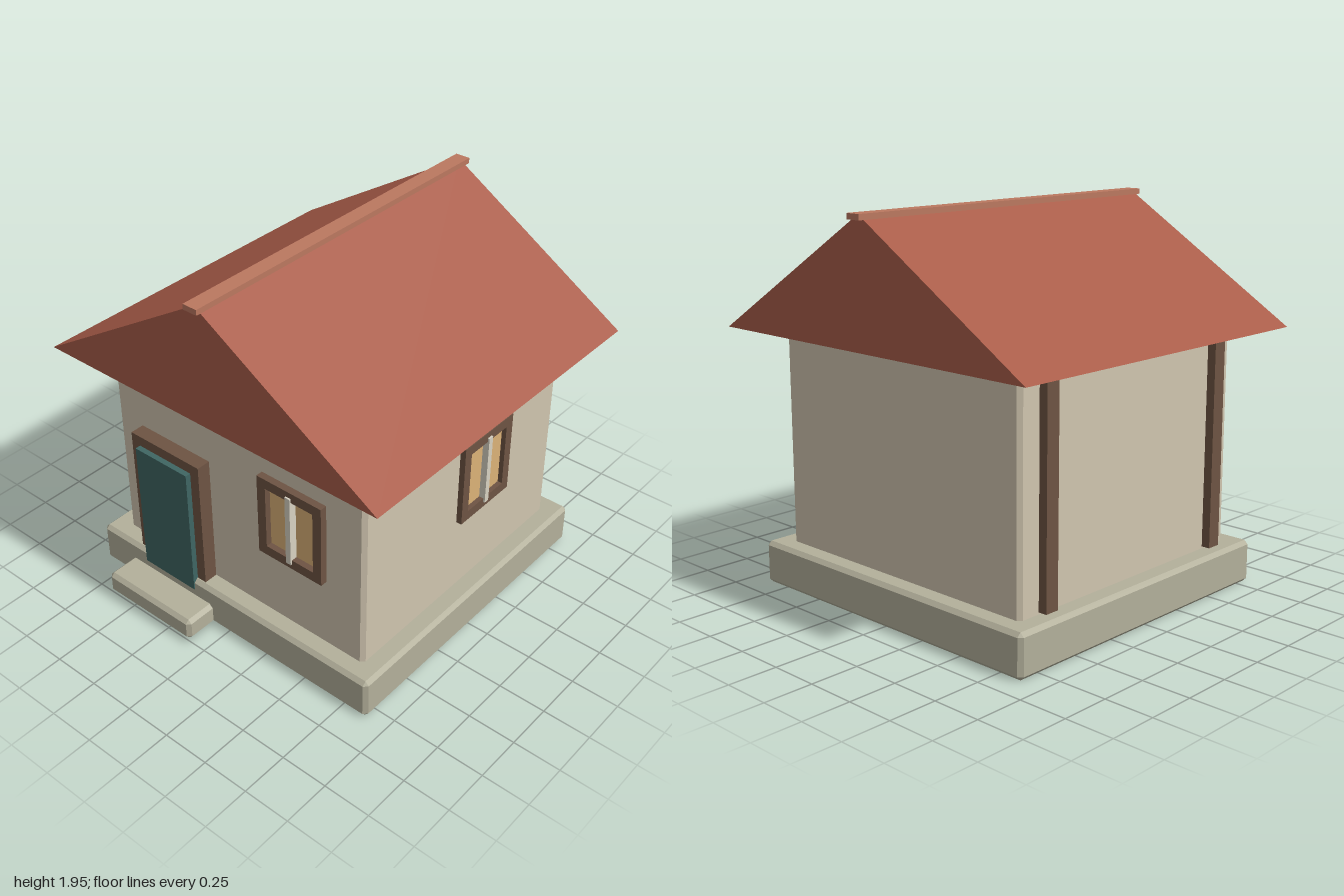
import * as THREE from 'three';
import { ConvexGeometry } from 'three/addons/geometries/ConvexGeometry.js';

const mat = (color) => new THREE.MeshStandardMaterial({ color, flatShading: true });
const stone = mat(0xb3b09b), plaster = mat(0xd0c5af), tile = mat(0xa95c49), ridgeTile = mat(0xbb7860);
const wood = mat(0x6e5443), paint = mat(0x3f6663), glass = mat(0xdcb277), bar = mat(0xd8d2c2);

function add(parent, name, geometry, material) {
  const mesh = new THREE.Mesh(geometry, material);
  mesh.name = name;
  parent.add(mesh);
  return mesh;
}

// Box given by its lower and upper limits on each axis
function box(parent, name, material, [x0, x1], [y0, y1], [z0, z1]) {
  const mesh = add(parent, name, new THREE.BoxGeometry(x1 - x0, y1 - y0, z1 - z0), material);
  mesh.position.set((x0 + x1) / 2, (y0 + y1) / 2, (z0 + z1) / 2);
  return mesh;
}

// Box with every edge chamfered by c
function chamferBox(parent, name, material, xs, ys, zs, c = 0.02) {
  const points = [];
  for (const i of [0, 1]) for (const j of [0, 1]) for (const k of [0, 1]) {
    const x = xs[i], y = ys[j], z = zs[k];
    const dx = i ? -c : c, dy = j ? -c : c, dz = k ? -c : c;
    points.push(
      new THREE.Vector3(x, y + dy, z + dz),
      new THREE.Vector3(x + dx, y, z + dz),
      new THREE.Vector3(x + dx, y + dy, z));
  }
  return add(parent, name, new ConvexGeometry(points), material);
}

function rectangle(path, w, h) {
  path.moveTo(-w / 2, -h / 2);
  path.lineTo(w / 2, -h / 2);
  path.lineTo(w / 2, h / 2);
  path.lineTo(-w / 2, h / 2);
  path.closePath();
  return path;
}

// Window facing +z: pane, open frame and centre bar
function makeWindow(name, depth) {
  const group = new THREE.Group();
  group.name = name;
  const shape = rectangle(new THREE.Shape(), 0.385, 0.445);
  shape.holes.push(rectangle(new THREE.Path(), 0.285, 0.34));
  const frame = add(group, 'windowFrame',
    new THREE.ExtrudeGeometry(shape, { depth, bevelEnabled: false }), wood);
  frame.position.z = 0.015;
  box(group, 'windowPane', glass, [-0.165, 0.165], [-0.195, 0.195], [0, 0.02]);
  box(group, 'windowBar', bar, [-0.015, 0.015], [-0.193, 0.193], [0.02, depth + 0.024]);
  return group;
}

export function createModel() {
  const house = new THREE.Group();
  house.name = 'house';

  // Foundation, step and walls
  chamferBox(house, 'foundation', stone, [-0.89, 0.89], [0, 0.22], [-0.88, 0.83]);
  chamferBox(house, 'doorStep', stone, [-0.68, -0.1], [0, 0.12], [0.78, 1]);
  chamferBox(house, 'walls', plaster, [-0.79, 0.79], [0.2, 1.335], [-0.78, 0.73]);

  // Gabled roof: a solid prism along z, with a ridge cap
  const gable = new THREE.Shape([
    new THREE.Vector2(-1, 1.325), new THREE.Vector2(1, 1.325), new THREE.Vector2(0, 1.943)]);
  const roof = add(house, 'roof',
    new THREE.ExtrudeGeometry(gable, { depth: 1.885, bevelEnabled: false }), tile);
  roof.position.z = -0.97;
  box(house, 'ridgeCap', ridgeTile, [-0.04, 0.04], [1.92, 1.948], [-1, 0.94]);

  // Door
  box(house, 'doorFrame', wood, [-0.62, -0.165], [0.18, 0.935], [0.72, 0.805]);
  box(house, 'door', paint, [-0.565, -0.22], [0.16, 0.88], [0.79, 0.835]);

  // Windows in the front and left walls
  const frontWindow = makeWindow('frontWindow', 0.037);
  frontWindow.position.set(0.388, 0.842, 0.73);
  const sideWindow = makeWindow('sideWindow', 0.03);
  sideWindow.position.set(0.778, 0.858, -0.16);
  sideWindow.rotation.y = Math.PI / 2;
  house.add(frontWindow, sideWindow);

  // Timber posts on the right wall
  for (const z of [-0.62, 0.59])
    box(house, 'wallPost', wood, [-0.835, -0.785], [0.23, 1.3], [z - 0.038, z + 0.038]);

  return house;
}
